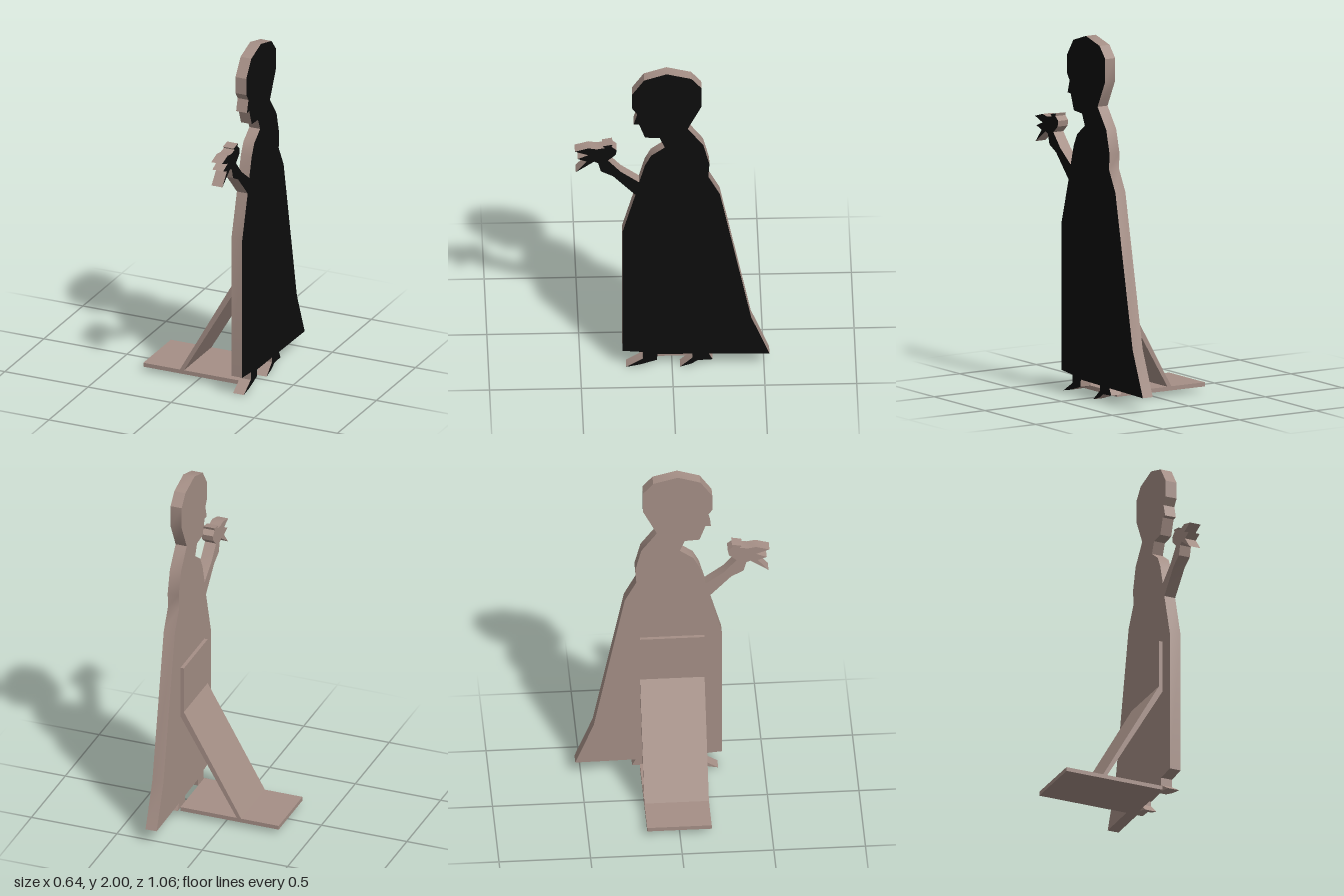
import * as THREE from 'three';
import { toCreasedNormals } from 'three/addons/utils/BufferGeometryUtils.js';

const board = new THREE.MeshStandardMaterial({ color: 0xa58f86 });
board.name = 'brownBoard';
const black = new THREE.MeshStandardMaterial({ color: 0x0d0d0d });
black.name = 'blackFace';

const BACK = 0.255, FRONT = 0.32;      // the figure board in x
const Z0 = -0.178, Z1 = 0.174;         // the stand in z

// Extrude a [z, y] outline along x; only the cap facing +x is black
function cutout(name, points) {
  const shape = new THREE.Shape(points.map(([z, y]) => new THREE.Vector2(-z, y)));
  let geo = new THREE.ExtrudeGeometry(shape, { depth: FRONT - BACK, bevelEnabled: false });
  const [caps, sides] = geo.groups.map((g) => ({ ...g }));
  geo.rotateY(Math.PI / 2).translate(BACK, 0, 0);
  geo = toCreasedNormals(geo, 0.6);
  const half = caps.count / 2;
  geo.clearGroups();
  geo.addGroup(caps.start, half, 0);
  geo.addGroup(caps.start + half, half, 1);
  geo.addGroup(sides.start, sides.count, 0);
  const mesh = new THREE.Mesh(geo, [board, black]);
  mesh.name = name;
  return mesh;
}

// Extrude an [x, y] outline over the width of the stand
function standPart(name, points) {
  const shape = new THREE.Shape(points.map(([x, y]) => new THREE.Vector2(x, y)));
  const geo = new THREE.ExtrudeGeometry(shape, { depth: Z1 - Z0, bevelEnabled: false });
  geo.translate(0, 0, Z0);
  const mesh = new THREE.Mesh(geo, board);
  mesh.name = name;
  return mesh;
}

export function createModel() {
  const model = new THREE.Group();
  model.name = 'silhouetteStandee';

  // Head, shoulders and long gown
  model.add(cutout('headAndGown', [
    [0.03, 2.0], [-0.105, 1.965], [-0.16, 1.90], [-0.16, 1.775], [-0.085, 1.625],
    [-0.17, 1.51], [-0.203, 1.38], [-0.197, 1.295], [-0.26, 1.175], [-0.43, 0.33],
    [-0.53, 0.08], [-0.2, 0.085], [-0.11, 0.087], [0.08, 0.09], [0.16, 0.105],
    [0.27, 0.115], [0.27, 0.93], [0.2, 1.18], [0.18, 1.265], [0.148, 1.38],
    [0.115, 1.445], [0.04, 1.5], [0.068, 1.565], [0.148, 1.57], [0.18, 1.66],
    [0.21, 1.66], [0.19, 1.73], [0.218, 1.77], [0.218, 1.865], [0.153, 1.96],
  ]));

  // Raised arm with spread fingers
  model.add(cutout('raisedArm', [
    [0.2, 1.18], [0.322, 1.31], [0.388, 1.345], [0.403, 1.4], [0.425, 1.412],
    [0.525, 1.342], [0.466, 1.413], [0.515, 1.432], [0.456, 1.456], [0.53, 1.482],
    [0.456, 1.503], [0.41, 1.495], [0.366, 1.503], [0.38, 1.515], [0.325, 1.525],
    [0.33, 1.51], [0.302, 1.487], [0.308, 1.455], [0.35, 1.418], [0.28, 1.339],
    [0.18, 1.265],
  ]));

  // Pointed shoes below the hem
  model.add(cutout('frontShoe', [
    [0.08, 0.09], [0.083, 0.05], [0.175, 0.02], [0.25, 0.005], [0.16, 0.06], [0.16, 0.105],
  ]));
  model.add(cutout('backShoe', [
    [-0.2, 0.085], [-0.22, 0.047], [-0.14, 0.043], [-0.105, 0.02], [-0.043, 0.0],
    [-0.11, 0.06], [-0.11, 0.087],
  ]));

  // Easel stand behind the board
  model.add(standPart('basePlate', [[-0.32, 0.027], [BACK, 0.027], [BACK, 0.05], [-0.32, 0.05]]));
  model.add(standPart('slantedBrace', [[-0.1, 0.05], [-0.075, 0.05], [BACK, 0.615], [BACK, 0.645], [0.235, 0.645]]));
  model.add(standPart('mountingPlate', [[0.235, 0.645], [BACK, 0.645], [BACK, 0.917], [0.235, 0.917]]));
  return model;
}
